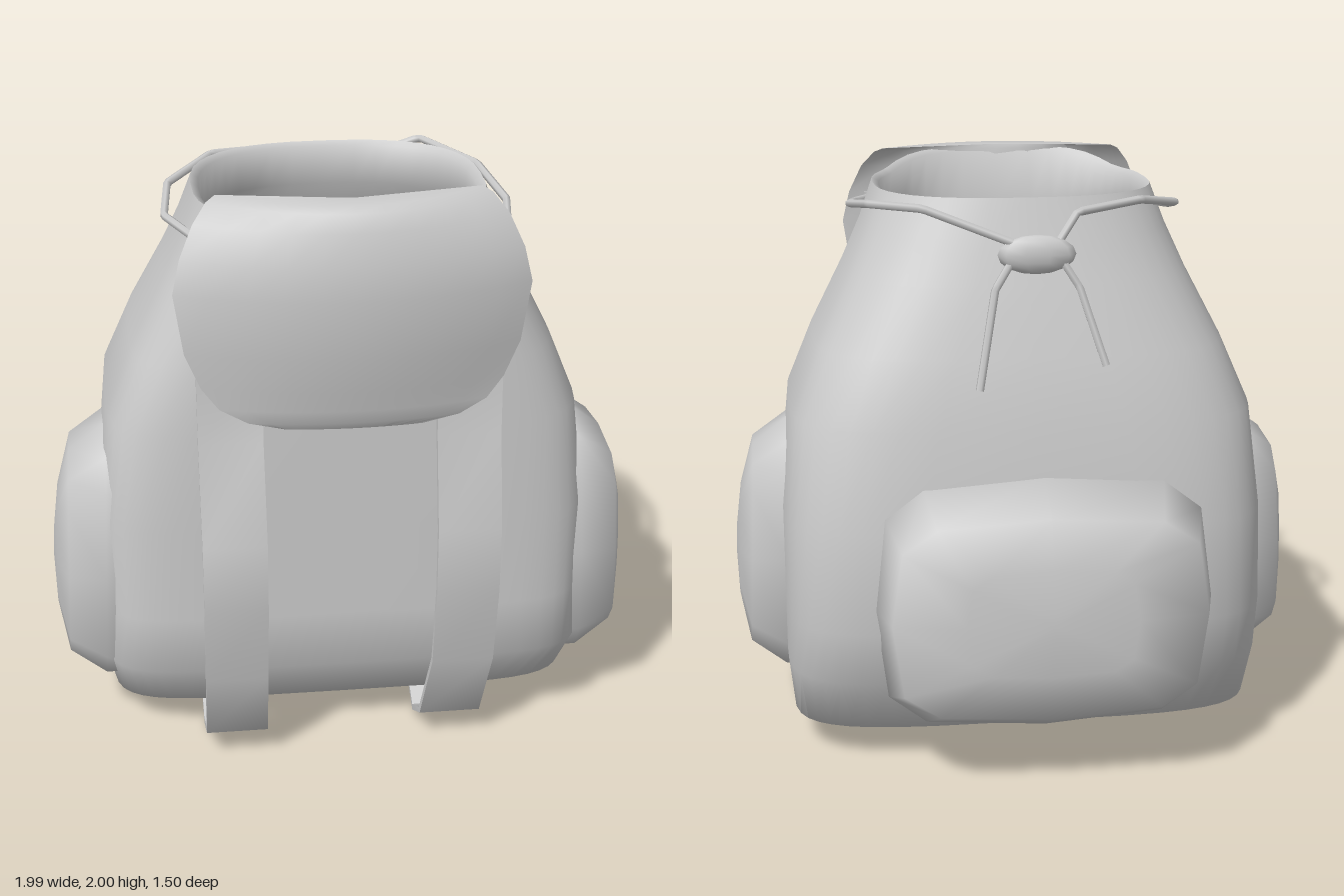
import * as THREE from 'three';
import { toCreasedNormals } from 'three/addons/utils/BufferGeometryUtils.js';

const material = new THREE.MeshStandardMaterial({ color: 0xcccccc, side: THREE.DoubleSide });

// Skin closed rings of [x, y, z] points and cap both ends
function loft(rings, crease) {
  const n = rings[0].length, pos = rings.flat(2), index = [];
  for (let i = 0; i < rings.length - 1; i++) {
    for (let j = 0; j < n; j++) {
      const a = i * n + j, b = i * n + (j + 1) % n;
      index.push(a, a + n, b, b, a + n, b + n);
    }
  }
  const last = (rings.length - 1) * n, centre = pos.length / 3;
  for (const ring of [rings[0], rings[rings.length - 1]]) {
    for (let k = 0; k < 3; k++) pos.push(ring.reduce((s, p) => s + p[k], 0) / n);
  }
  for (let j = 0; j < n; j++) {
    const k = (j + 1) % n;
    index.push(centre, j, k, centre + 1, last + k, last + j);
  }
  const geometry = new THREE.BufferGeometry();
  geometry.setAttribute('position', new THREE.Float32BufferAttribute(pos, 3));
  geometry.setIndex(index);
  return toCreasedNormals(geometry, crease);
}

// Unit superellipse outline, with its own squareness for the +v and -v halves
function outline(count, powerPlus, powerMinus = powerPlus) {
  return Array.from({ length: count }, (_, j) => {
    const a = (j / count) * Math.PI * 2;
    const power = Math.sin(a) > 0 ? powerPlus : powerMinus;
    const f = (v) => Math.sign(v) * Math.pow(Math.abs(v), 2 / power);
    return [f(Math.cos(a)), f(Math.sin(a))];
  });
}

function makeMesh(name, geometry) {
  const mesh = new THREE.Mesh(geometry, material);
  mesh.name = name;
  return mesh;
}

// Sack: y, half width, front z, back z, squareness at front and back
function bodyGeometry() {
  const outer = [
    [0, 0.7, 0.03, -0.03, 4, 4],
    [0.12, 0.81, 0.42, -0.4, 5.5, 4.2],
    [0.32, 0.83, 0.56, -0.5, 7, 4.6],
    [0.52, 0.83, 0.56, -0.56, 7, 4.6],
    [0.85, 0.83, 0.56, -0.53, 7, 4.4],
    [1.2, 0.795, 0.56, -0.49, 5.5, 4],
    [1.42, 0.705, 0.56, -0.43, 4.6, 3.6],
    [1.65, 0.59, 0.56, -0.36, 3.8, 3.1],
    [1.8, 0.525, 0.56, -0.31, 3.2, 2.8],
    [1.93, 0.48, 0.58, -0.27, 2.8, 2.6],
  ];
  const lip = [[1.915, 0.455, 0.57, -0.255, 2.8, 2.6], [1.78, 0.45, 0.535, -0.255, 3, 2.6]];
  const inner = outer.slice(1, -2).reverse().map(([y, w, f, b, p, q]) => [y + 0.01, w - 0.03, f - 0.03, b + 0.03, p, q]);
  return loft([...outer, ...lip, ...inner].map(([y, w, f, b, p, q]) =>
    outline(40, p, q).map(([u, v]) => {
      // the rim rises at the front to meet the flap, the base sags at its ends
      const lift = y > 1.9 ? 0.06 * THREE.MathUtils.smoothstep(v, 0.6, 1) : y === 0 ? 0.025 * (1 - u * u) : 0;
      return [u * w, y + lift, (f + b) / 2 + v * (f - b) / 2];
    })), 1.1);
}

// Flap: y, half width, front z, edge z, back z
function flapGeometry() {
  const rows = [
    [2.0, 0.42, 0.66, 0.5, 0.575],
    [1.985, 0.45, 0.69, 0.525, 0.57],
    [1.93, 0.495, 0.715, 0.57, 0.565],
    [1.83, 0.54, 0.74, 0.605, 0.56],
    [1.72, 0.565, 0.75, 0.62, 0.57],
    [1.52, 0.535, 0.73, 0.62, 0.6],
    [1.4, 0.485, 0.705, 0.62, 0.62],
    [1.33, 0.43, 0.69, 0.63, 0.63],
    [1.285, 0.34, 0.68, 0.645, 0.64],
    [1.26, 0.22, 0.665, 0.65, 0.645],
  ];
  const steps = 10;
  return loft(rows.map(([y, w, front, edge, back]) => {
    const ring = [];
    for (let j = 0; j < steps * 2; j++) {
      const u = j <= steps ? (2 * j) / steps - 1 : 3 - (2 * j) / steps;
      const middle = j <= steps ? front : back;
      ring.push([u * w, y, edge + (middle - edge) * (1 - u * u)]);
    }
    return ring;
  }), 1);
}

// Padded pocket bulging along +z, thinner towards its top and tucked in at its base
function pocketGeometry(halfWidth, halfHeight, base) {
  const layers = [[base, base, -0.1], [1, 1, base < 1 ? -0.02 : 0.03], [0.92, 0.79, 0.155], [0.5, 0.42, 0.197], [0.12, 0.1, 0.21]];
  return loft(layers.map(([su, sv, z]) =>
    outline(12, 4).map(([u, v]) => [u * halfWidth * su, -v * halfHeight * sv, z + 0.018 * v * sv])), 1.8);
}

// Flat ribbon along a list of [x, y, z] centres
function strapGeometry(path) {
  return loft(path.map(([x, y, z], i) => {
    const a = path[Math.max(i - 1, 0)], b = path[Math.min(i + 1, path.length - 1)];
    const dy = b[1] - a[1], dz = b[2] - a[2], len = Math.hypot(dy, dz);
    const ny = (dz / len) * 0.011, nz = (-dy / len) * 0.011, w = 0.105;
    return [[-w, 1], [w, 1], [w, -1], [-w, -1]].map(([u, s]) => [x + u, y + s * ny, z + s * nz]);
  }), 0.9);
}

function cordGeometry(points) {
  const curve = new THREE.CatmullRomCurve3(points.map((p) => new THREE.Vector3(...p)), false, 'catmullrom', 0);
  return new THREE.TubeGeometry(curve, points.length * 8, 0.014, 6);
}

export function createModel() {
  const model = new THREE.Group();
  model.name = 'backpack';
  model.add(makeMesh('body', bodyGeometry()), makeMesh('flap', flapGeometry()));

  // Pockets
  for (const side of [1, -1]) {
    const pocket = makeMesh(side > 0 ? 'leftPocket' : 'rightPocket', pocketGeometry(0.3, 0.445, 1));
    pocket.position.set(side * 0.785, 0.65, 0.175);
    pocket.rotation.y = side * Math.PI / 2;
    model.add(pocket);
  }
  const backPocket = makeMesh('backPocket', pocketGeometry(0.57, 0.435, 0.85));
  backPocket.position.set(-0.03, 0.605, -0.54);
  backPocket.rotation.y = Math.PI;
  model.add(backPocket);

  // Shoulder straps, the left one hanging a little closer
  const hang = [[1.83, 0.595], [1.5, 0.595], [1.2, 0.61], [0.88, 0.72], [0.65, 0.72], [0.35, 0.66], [0.11, 0.6], [0.025, 0.41], [0.08, 0.3]];
  for (const side of [1, -1]) {
    const path = hang.map(([y, z], i) => [
      side > 0 ? (i > 5 ? 0.35 : 0.38) : -0.395,
      y,
      side > 0 && i > 2 && i < 7 ? z - 0.04 : z,
    ]);
    model.add(makeMesh(side > 0 ? 'leftStrap' : 'rightStrap', strapGeometry(path)));
  }

  // Drawstring round the neck, its toggle and loose ends
  model.add(
    makeMesh('drawstringLeft', cordGeometry([
      [0.43, 1.82, 0.58], [0.53, 1.83, 0.38], [0.56, 1.85, 0.2], [0.51, 1.89, -0.08],
      [0.35, 1.91, -0.33], [0.06, 1.8, -0.38]])),
    makeMesh('drawstringRight', cordGeometry([
      [-0.48, 1.82, 0.38], [-0.57, 1.83, 0.18], [-0.55, 1.87, -0.04], [-0.39, 1.91, -0.23],
      [-0.16, 1.89, -0.34], [-0.08, 1.78, -0.38]])),
    makeMesh('looseEndLeft', cordGeometry([[0.05, 1.76, -0.38], [0.12, 1.65, -0.4], [0.18, 1.33, -0.47]])),
    makeMesh('looseEndRight', cordGeometry([[-0.09, 1.76, -0.38], [-0.16, 1.65, -0.4], [-0.24, 1.4, -0.46]])),
  );
  const toggle = makeMesh('toggle', new THREE.SphereGeometry(1, 10, 8));
  toggle.scale.set(0.13, 0.065, 0.035);
  toggle.position.set(-0.02, 1.76, -0.38);
  model.add(toggle);

  return model;
}
